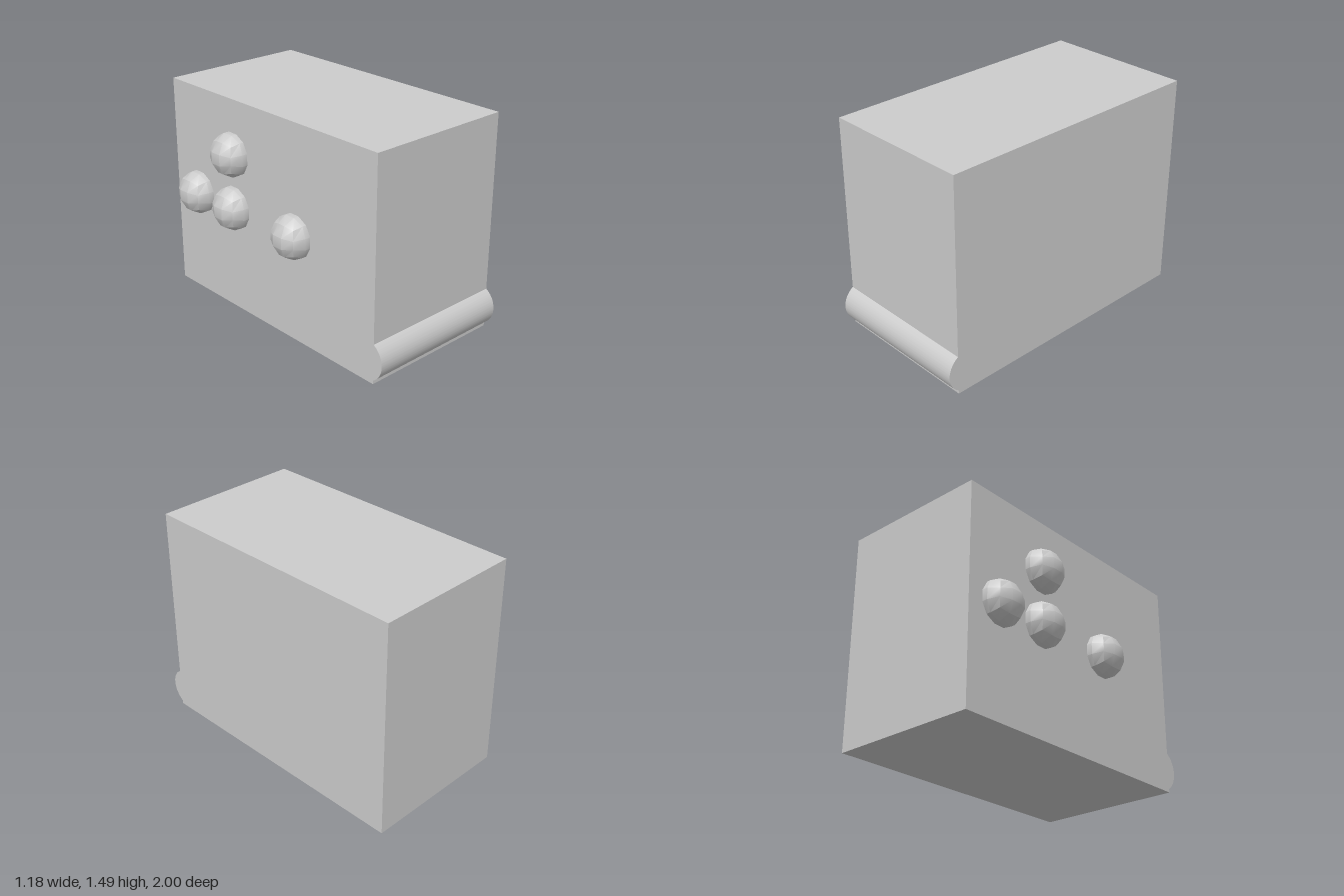
import * as THREE from 'three';
import { toCreasedNormals } from 'three/addons/utils/BufferGeometryUtils.js';

const LEFT = 0.592, RIGHT = -0.449, WIDTH = LEFT - RIGHT;
const HEIGHT = 1.49, BACK = -1, FRONT = 0.93;

// Low-poly ball: a 3x3x3 cube grid pushed onto a sphere at equal angles
function ballGeometry(radius) {
  const geometry = new THREE.BoxGeometry(2, 2, 2, 3, 3, 3);
  const pos = geometry.attributes.position;
  const bend = (c) => Math.tan((c * Math.PI) / 4);
  const v = new THREE.Vector3();
  for (let i = 0; i < pos.count; i++) {
    v.set(bend(pos.getX(i)), bend(pos.getY(i)), bend(pos.getZ(i))).setLength(radius);
    pos.setXYZ(i, v.x, v.y, v.z);
  }
  return toCreasedNormals(geometry, THREE.MathUtils.degToRad(29));
}

// Rounded bar: a circle segment in the z-y plane, swept across the width
function rollGeometry() {
  const radius = 0.146, centreZ = 1 - radius, centreY = 0.15;
  const half = Math.acos((FRONT - centreZ) / radius);
  const shape = new THREE.Shape();
  shape.absarc(centreZ, centreY, radius, -half, half, false);
  shape.closePath();
  const geometry = new THREE.ExtrudeGeometry(shape, { depth: WIDTH, bevelEnabled: false, curveSegments: 24 });
  geometry.rotateY(-Math.PI / 2).translate(LEFT, 0, 0);
  return toCreasedNormals(geometry, THREE.MathUtils.degToRad(30));
}

export function createModel() {
  const model = new THREE.Group();
  model.name = 'cabinet';
  const grey = new THREE.MeshStandardMaterial({ color: 0xcccccc });
  grey.name = 'light grey';

  const add = (name, geometry, x = 0, y = 0, z = 0) => {
    const mesh = new THREE.Mesh(geometry, grey);
    mesh.name = name;
    mesh.position.set(x, y, z);
    model.add(mesh);
  };

  // Main block
  add('body', new THREE.BoxGeometry(WIDTH, HEIGHT, FRONT - BACK),
    (LEFT + RIGHT) / 2, HEIGHT / 2, (FRONT + BACK) / 2);

  // Rounded bar along the lower front edge
  add('frontRoll', rollGeometry());

  // Four half-sunk knobs on the right side, as [y, z]
  const knob = ballGeometry(0.153);
  [[1.12, -0.37], [0.745, -0.745], [0.745, -0.37], [0.745, 0.225]].forEach(([y, z], i) =>
    add(`knob${i + 1}`, knob, RIGHT, y, z));

  return model;
}
